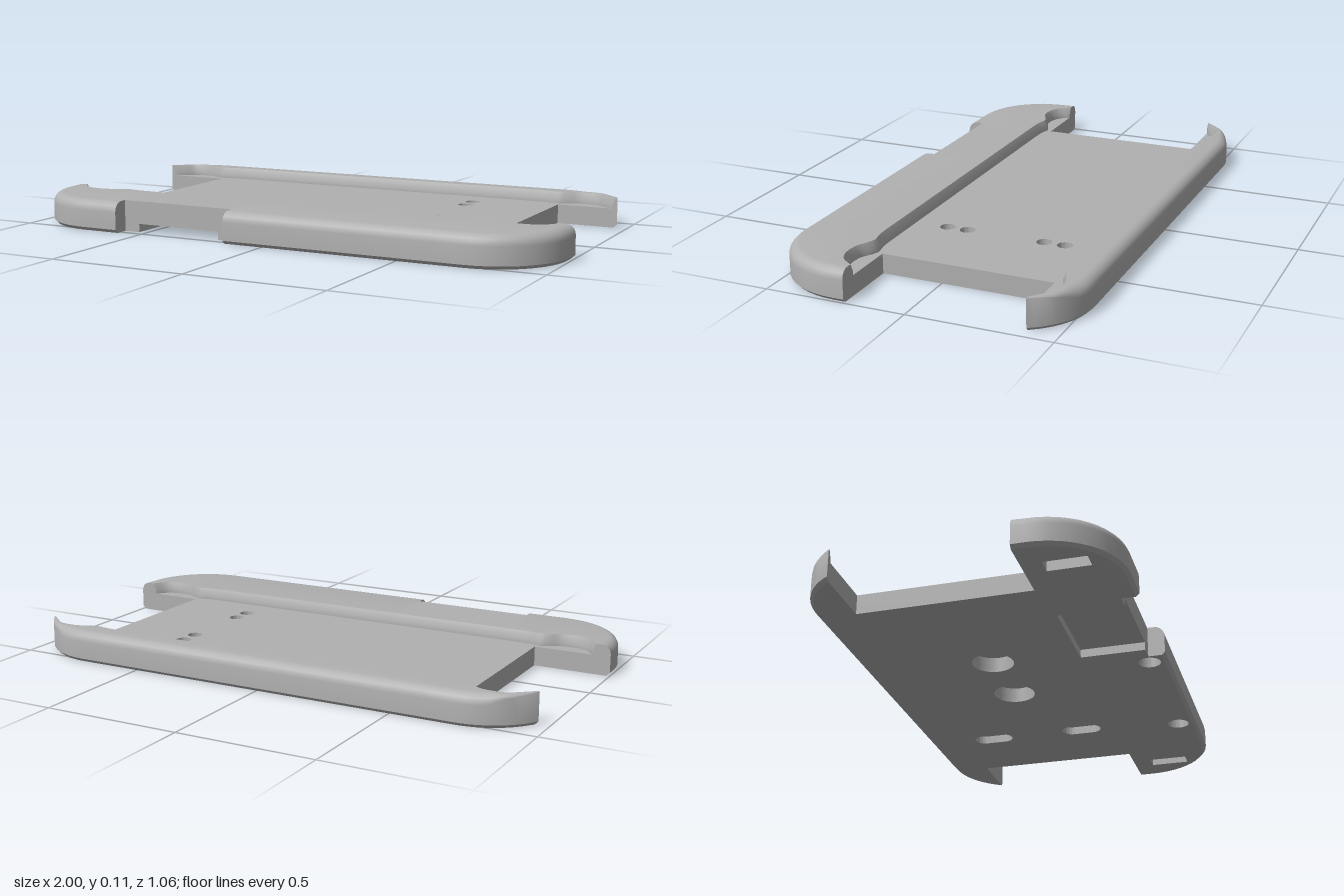
import * as THREE from 'three';
import { toCreasedNormals } from 'three/addons/utils/BufferGeometryUtils.js';

const FLOOR = 0.07, TOP = 0.112, CHAMFER = 0.012, ROUND = 0.037;
const CORNER = { x: 0.73, z: 0.26, r: 0.27 };
const NOTCH = { x0: -0.59, x1: -0.145, z: 0.47 };

// A station pairs an outer wall point (with its normal) and an inner lip point.
const station = (ox, oz, nx, nz, ix, iz, notch = false) => ({ ox, oz, nx, nz, ix, iz, notch });

// Stations of one rail from +x to -x; side is +1 for front, -1 for back.
function railStations(side, startAngle, endZ, inner) {
  const curve = new THREE.CatmullRomCurve3(inner.map(([x, z]) => new THREE.Vector3(x, 0, z)));
  const half = [];
  const steps = 12, extra = 5, n = steps + extra;
  for (let i = 0; i <= n; i++) {
    const p = curve.getPoint(i / n);
    if (i <= steps) {
      const a = startAngle + (Math.PI / 2 - startAngle) * i / steps;
      const flat = i === 0;
      half.push(station(CORNER.x + CORNER.r * Math.cos(a), side * (CORNER.z + CORNER.r * Math.sin(a)),
        flat ? 1 : Math.cos(a), flat ? 0 : side * Math.sin(a), p.x, p.z));
    } else {
      half.push(station(CORNER.x - 0.09 * (i - steps) / extra, side * (CORNER.z + CORNER.r), 0, side, p.x, p.z));
    }
  }
  // short straight end of the front rail
  if (startAngle === 0) half.unshift(station(1, endZ, 1, 0, inner[0][0] + 0.006, endZ));
  const mid = [];
  if (side > 0) {
    const z = CORNER.z + CORNER.r, iz = inner[inner.length - 1][1];
    mid.push(station(NOTCH.x1, z, 0, 1, NOTCH.x1, iz), station(NOTCH.x1, NOTCH.z, 0, 1, NOTCH.x1, iz, true),
      station(NOTCH.x0, NOTCH.z, 0, 1, NOTCH.x0, iz, true), station(NOTCH.x0, z, 0, 1, NOTCH.x0, iz));
  }
  const mirrored = half.map(s => ({ ...s, ox: -s.ox, nx: -s.nx, ix: -s.ix })).reverse();
  return [...half, ...mid, ...mirrored];
}

// Cross-section: bottom chamfer, outer wall, rounded top edge, sloped inner lip.
function section(s) {
  const dx = s.ix - s.ox, dz = s.iz - s.oz, d = Math.hypot(dx, dz);
  const r = s.notch ? 0 : Math.min(ROUND, d * 0.6);
  const at = (inset, y) => [s.ox - s.nx * inset, y, s.oz - s.nz * inset];
  const pts = s.notch ? [at(0, FLOOR), at(0, FLOOR)] : [at(CHAMFER, 0), at(0, CHAMFER)];
  for (let k = 0; k <= 5; k++) {
    const a = k / 5 * Math.PI / 2;
    pts.push(at(r * (1 - Math.cos(a)), TOP - r * (1 - Math.sin(a))));
  }
  const ex = s.ix + dx / d * 0.012, ez = s.iz + dz / d * 0.012;
  pts.push([s.ix, TOP, s.iz], [ex, 0.085, ez], [ex, FLOOR, ez]);
  return pts;
}

function railGeometry(stations) {
  const rows = stations.map(section), pos = [];
  const tri = (a, b, c) => pos.push(...a, ...b, ...c);
  for (let i = 0; i < rows.length - 1; i++) {
    for (let j = 0; j < rows[i].length - 1; j++) {
      const a = rows[i][j], b = rows[i + 1][j], c = rows[i + 1][j + 1], d = rows[i][j + 1];
      tri(a, d, c);
      tri(a, c, b);
    }
  }
  // end faces
  const first = rows[0], last = rows[rows.length - 1];
  for (let j = 1; j < first.length - 1; j++) {
    tri(first[0], first[j + 1], first[j]);
    tri(last[0], last[j], last[j + 1]);
  }
  const g = new THREE.BufferGeometry();
  g.setAttribute('position', new THREE.Float32BufferAttribute(pos, 3));
  return toCreasedNormals(g, 0.6);
}

const circle = (x, z, r) => new THREE.Path().absarc(x, -z, r, 0, Math.PI * 2, true);

function rectangle(x0, x1, z0, z1) {
  return new THREE.Path([[x0, z0], [x1, z0], [x1, z1], [x0, z1]].map(([x, z]) => new THREE.Vector2(x, -z)));
}

// Pill running along z
function pill(x, z0, z1, r) {
  const p = new THREE.Path();
  p.absarc(x, -z0, r, 0, Math.PI, false);
  p.absarc(x, -z1, r, Math.PI, Math.PI * 2, false);
  p.closePath();
  return p;
}

export function createModel() {
  const model = new THREE.Group();
  model.name = 'slideInCradle';
  const grey = new THREE.MeshStandardMaterial({ color: 0xb0b0b0, side: THREE.DoubleSide });
  grey.name = 'grey';
  const add = (name, geometry) => {
    const mesh = new THREE.Mesh(geometry, grey);
    mesh.name = name;
    model.add(mesh);
    return mesh;
  };

  // Raised rails with wavy inner lips
  const front = railStations(1, 0, 0.215, [[0.94, 0.225], [0.915, 0.257], [0.87, 0.278], [0.8, 0.276],
    [0.765, 0.258], [0.73, 0.246], [0.69, 0.254], [0.64, 0.257]]);
  const back = railStations(-1, Math.PI / 6, -0.395, [[0.958, -0.395], [0.915, -0.43], [0.88, -0.456], [0.81, -0.46],
    [0.77, -0.447], [0.73, -0.433], [0.69, -0.439], [0.64, -0.443]]).reverse();
  add('frontRail', railGeometry(front));
  add('backRail', railGeometry(back));

  // Base outline, optionally cut back by the recess behind the notch
  const outline = recess => {
    const pts = [];
    const put = (x, z) => pts.push(new THREE.Vector2(x, -z));
    const follow = s => put(s.ox - (s.notch ? 0 : s.nx * CHAMFER), s.oz - (s.notch ? 0 : s.nz * CHAMFER));
    front.forEach(s => {
      follow(s);
      if (recess && s.notch && s.ox === NOTCH.x1) {
        [[-0.2, 0.47], [-0.2, 0.24], [-0.53, 0.24], [-0.53, 0.47]].forEach(p => put(...p));
      }
    });
    put(-0.72, 0.215);
    put(-0.72, -0.395);
    back.forEach(follow);
    put(0.74, -0.395);
    put(0.74, 0.215);
    return new THREE.Shape(pts);
  };
  const slab = (name, y0, y1, recess, holes) => {
    const shape = outline(recess);
    shape.holes.push(...holes);
    const g = new THREE.ExtrudeGeometry(shape, { depth: y1 - y0, bevelEnabled: false, curveSegments: 20 });
    g.rotateX(-Math.PI / 2);
    g.translate(0, y0, 0);
    add(name, toCreasedNormals(g, 0.6));
  };

  // Base in layers: slots and recess below, blind pockets, then small through holes
  const pockets = () => [
    circle(0.035, -0.07, 0.075), circle(-0.24, -0.07, 0.075),
    circle(0.48, 0.465, 0.04), circle(-0.095, 0.465, 0.04),
    rectangle(0.83, 0.89, 0.285, 0.43), rectangle(-0.89, -0.83, 0.285, 0.43)
  ];
  const screwHoles = () => [-0.31, -0.235, 0.05, 0.125].map(z => circle(0.437, z, 0.027));
  slab('baseUnderside', 0, 0.03, true,
    [...pockets(), pill(0.437, -0.31, -0.235, 0.038), pill(0.437, 0.05, 0.125, 0.038)]);
  slab('baseCore', 0.03, 0.055, false, [...pockets(), ...screwHoles()]);
  slab('baseFloor', 0.055, FLOOR, false, screwHoles());

  return model;
}
